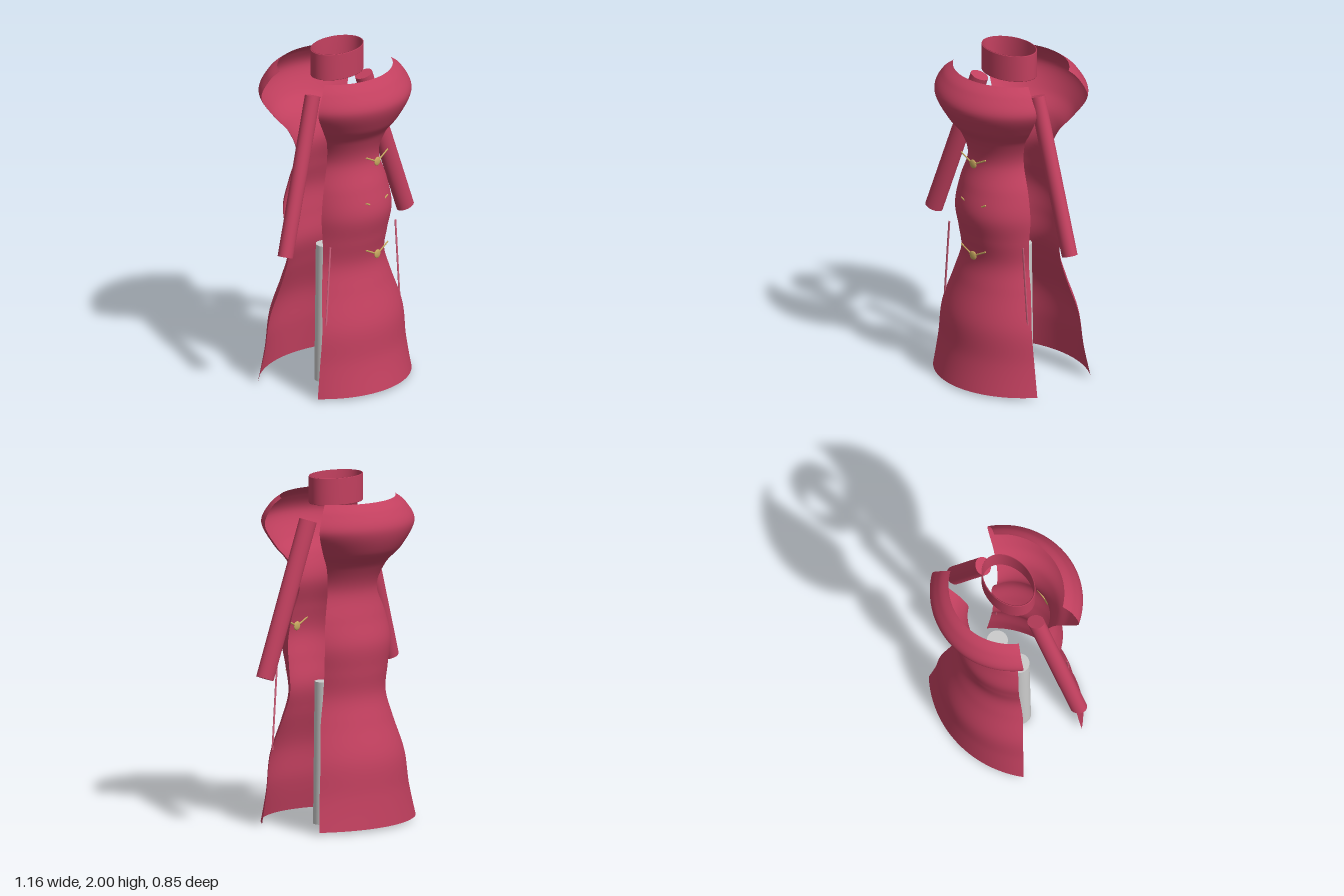
import * as THREE from 'three';

const cloth = new THREE.MeshStandardMaterial({ color: 0xc2405f, side: THREE.DoubleSide });
const trim = new THREE.MeshStandardMaterial({ color: 0xd0607c, side: THREE.DoubleSide });
const gold = new THREE.MeshStandardMaterial({ color: 0xc8a860 });
const grey = new THREE.MeshStandardMaterial({ color: 0xcccccc });

// Rows from hem to shoulder: height, half width, depth at centre, depth at side edge
const frontRows = [
  [0.015, 0.405, 0.408, 0.208], [0.2, 0.375, 0.37, 0.2], [0.4, 0.35, 0.355, 0.196],
  [0.6, 0.3, 0.296, 0.15], [0.75, 0.262, 0.265, 0.125], [0.9, 0.265, 0.295, 0.128],
  [1.05, 0.275, 0.328, 0.128], [1.2, 0.25, 0.3, 0.12], [1.36, 0.203, 0.256, 0.106],
  [1.5, 0.24, 0.296, 0.138], [1.6, 0.315, 0.37, 0.175], [1.73, 0.39, 0.426, 0.2],
  [1.83, 0.345, 0.375, 0.19], [1.88, 0.292, 0.316, 0.164],
];
const backRows = [
  [0.015, 0.405, 0.376, 0.232], [0.2, 0.375, 0.36, 0.206], [0.4, 0.35, 0.348, 0.19],
  [0.6, 0.3, 0.285, 0.145], [0.75, 0.262, 0.246, 0.128], [0.9, 0.265, 0.26, 0.142],
  [1.05, 0.275, 0.273, 0.155], [1.2, 0.25, 0.238, 0.136], [1.36, 0.203, 0.212, 0.11],
  [1.5, 0.24, 0.275, 0.138], [1.6, 0.315, 0.37, 0.178], [1.73, 0.39, 0.423, 0.22],
  [1.83, 0.345, 0.38, 0.2], [1.88, 0.292, 0.323, 0.168],
];

// Curved dress panel: every row is a circular arc between its two side edges
function dressPanel(name, rows, side) {
  const outline = new THREE.SplineCurve(rows.map(r => new THREE.Vector2(r[0], r[1])));
  const depth = new THREE.SplineCurve(rows.map(r => new THREE.Vector2(r[2], r[3])));
  const geo = new THREE.PlaneGeometry(2, 1, 48, 96);
  const pos = geo.attributes.position;
  for (let i = 0; i < pos.count; i++) {
    const u = pos.getX(i), t = pos.getY(i) + 0.5;
    const { x: y, y: w } = outline.getPoint(t);
    const { x: zc, y: ze } = depth.getPoint(t);
    const h = zc - ze;
    const R = (w * w + h * h) / (2 * h);
    const a = u * Math.asin(Math.min(1, w / R));
    pos.setXYZ(i, side * R * Math.sin(a), y, side * (zc - R * (1 - Math.cos(a))));
  }
  geo.computeVertexNormals();
  const mesh = new THREE.Mesh(geo, cloth);
  mesh.name = name;
  return mesh;
}

// Cylinder between two points, optionally flattened across its local z
function rod(name, from, to, radius, material, flatten = 1, sides = 32) {
  const a = new THREE.Vector3(...from), b = new THREE.Vector3(...to);
  const dir = b.clone().sub(a);
  const mesh = new THREE.Mesh(
    new THREE.CylinderGeometry(radius, radius, dir.length(), sides), material);
  mesh.position.copy(a).add(b).multiplyScalar(0.5);
  mesh.quaternion.setFromUnitVectors(new THREE.Vector3(0, 1, 0), dir.normalize());
  mesh.scale.z = flatten;
  mesh.name = name;
  return mesh;
}

// Flattened bead with two slim bars sweeping up and out
function clasp(y) {
  const group = new THREE.Group();
  group.name = 'clasp';
  const bead = new THREE.Mesh(new THREE.SphereGeometry(0.026, 24, 16), gold);
  bead.scale.z = 0.3;
  bead.name = 'claspBead';
  group.add(bead);
  for (const s of [-1, 1])
    group.add(rod('claspBar', [s * 0.01, 0.003, 0], [s * 0.095, 0.046, -0.003], 0.005, gold, 0.8, 10));
  group.position.set(0, y, 0.31);
  return group;
}

export function createModel() {
  const model = new THREE.Group();
  model.name = 'dress';
  model.add(dressPanel('frontPanel', frontRows, 1), dressPanel('backPanel', backRows, -1));

  // Oval standing collar with a thin wall
  const wall = [[0.172, 0], [0.179, 0], [0.18, 0.003], [0.18, 0.152], [0.179, 0.155], [0.172, 0.155], [0.172, 0]];
  const collar = new THREE.Mesh(
    new THREE.LatheGeometry(wall.map(p => new THREE.Vector2(...p)), 64), cloth);
  collar.scale.z = 0.71;
  collar.position.set(0, 1.845, 0.012);
  collar.name = 'collar';
  model.add(collar);

  for (const s of [-1, 1]) {
    const label = s > 0 ? 'left' : 'right';
    model.add(
      rod(label + 'Sleeve', [s * 0.225, 1.76, 0.02], [s * 0.53, 0.883, 0.073], 0.053, cloth, 0.82),
      rod(label + 'Leg', [s * 0.105, 0.002, 0.01], [s * 0.092, 0.82, 0.01], 0.06, grey),
      // Slim trim along the side slit
      rod(label + 'SlitTrim', [s * 0.324, 0.43, 0.203], [s * 0.287, 0.9, 0.203], 0.007, trim, 0.5, 12));
  }

  for (const y of [1.367, 1.09, 0.805]) model.add(clasp(y));
  return model;
}
